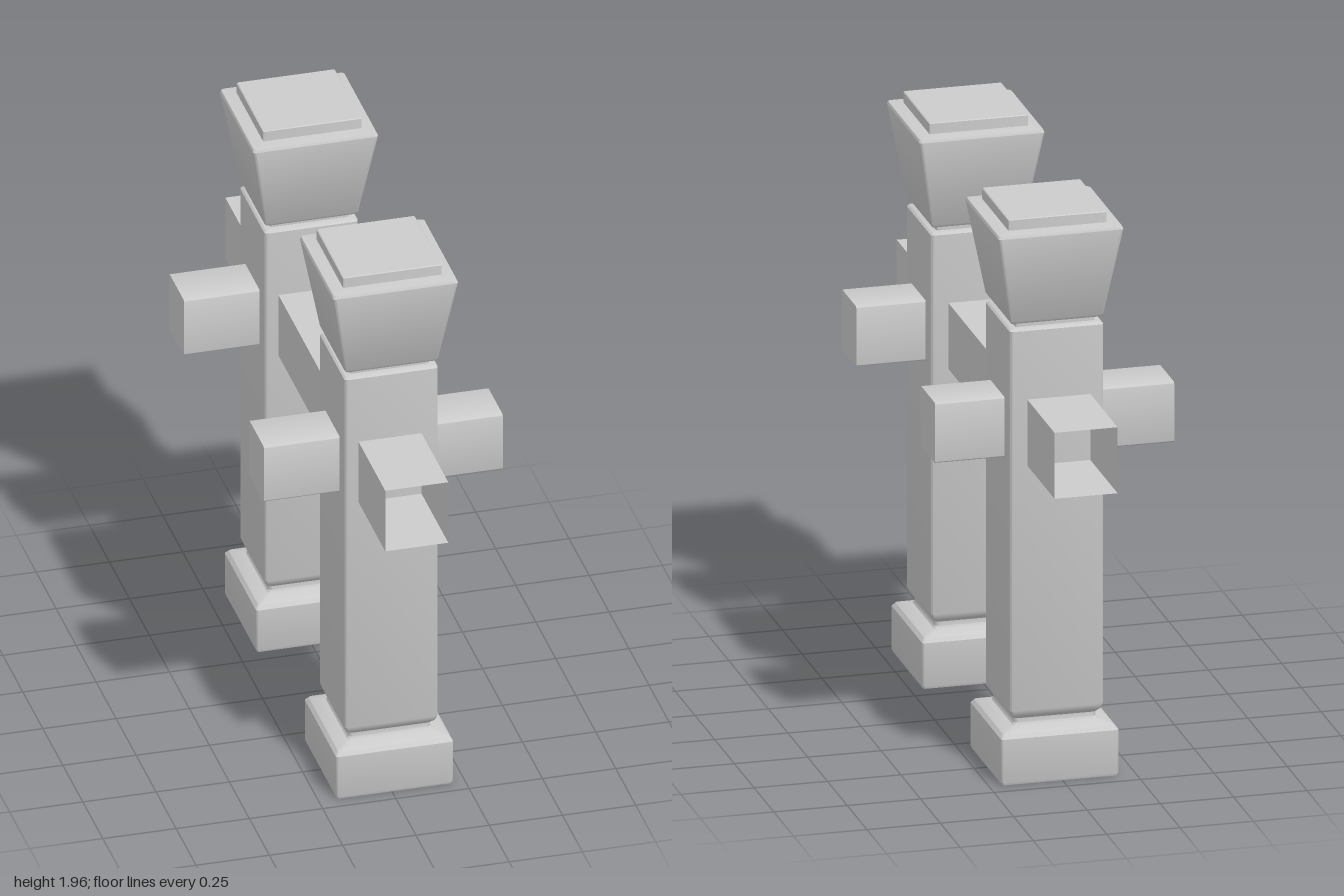
import * as THREE from 'three';
import { toCreasedNormals } from 'three/addons/utils/BufferGeometryUtils.js';

const material = new THREE.MeshStandardMaterial({ color: 0xcccccc, side: THREE.DoubleSide });
const CORNER_STEPS = 3;

// Square outline with rounded corners, counter-clockwise in (x, z)
function roundedSquare(half, radius) {
  const points = [];
  for (let corner = 0; corner < 4; corner++) {
    const mid = Math.PI / 4 + corner * Math.PI / 2;
    const cx = Math.sign(Math.cos(mid)) * (half - radius);
    const cz = Math.sign(Math.sin(mid)) * (half - radius);
    for (let i = 0; i <= CORNER_STEPS; i++) {
      const a = corner * Math.PI / 2 + (i / CORNER_STEPS) * Math.PI / 2;
      points.push([cx + radius * Math.cos(a), cz + radius * Math.sin(a)]);
    }
  }
  return points;
}

// Skin over rounded squares; each profile entry is [half width, y, corner radius]
function squareLoft(profile, closeTop) {
  const positions = [];
  const index = [];
  const n = 4 * (CORNER_STEPS + 1);
  profile.forEach(([half, y, radius]) => {
    roundedSquare(half, radius).forEach(([x, z]) => positions.push(x, y, z));
  });
  for (let r = 0; r < profile.length - 1; r++) {
    for (let i = 0; i < n; i++) {
      const a = r * n + i, b = r * n + (i + 1) % n;
      index.push(a, a + n, b, b, a + n, b + n);
    }
  }
  if (closeTop) {
    const last = (profile.length - 1) * n;
    const centre = positions.length / 3;
    positions.push(0, profile[profile.length - 1][1], 0);
    for (let i = 0; i < n; i++) index.push(last + i, centre, last + (i + 1) % n);
  }
  const geometry = new THREE.BufferGeometry();
  geometry.setAttribute('position', new THREE.Float32BufferAttribute(positions, 3));
  geometry.setIndex(index);
  return toCreasedNormals(geometry, 0.6);
}

function part(name, geometry) {
  const mesh = new THREE.Mesh(geometry, material);
  mesh.name = name;
  return mesh;
}

// Post: hollow foot, shaft, flared cap and raised top plate
function createPost() {
  const post = new THREE.Group();
  post.add(part('foot', squareLoft([
    [0.196, 0, 0.008], [0.2, 0.01, 0.008], [0.2, 0.16, 0.008], [0.19, 0.174, 0.012],
    [0.145, 0.187, 0.012], [0.14, 0.195, 0.012], [0.14, 0.21, 0.012],
  ])));
  post.add(part('shaft', squareLoft([
    [0.14, 0.21, 0.012], [0.153, 0.223, 0.012], [0.16, 0.242, 0.012],
    [0.16, 1.564, 0.012], [0.154, 1.57, 0.012], [0.135, 1.572, 0.01],
  ])));
  post.add(part('neck', squareLoft([[0.135, 1.57, 0.01], [0.135, 1.592, 0.01]])));
  post.add(part('flaredCap', squareLoft([
    [0.135, 1.59, 0.01], [0.153, 1.59, 0.008], [0.16, 1.6, 0.008],
    [0.214, 1.908, 0.01], [0.21, 1.917, 0.012], [0.168, 1.922, 0.004],
  ])));
  post.add(part('topPlate', squareLoft([
    [0.168, 1.92, 0.004], [0.168, 1.957, 0.004], [0.165, 1.96, 0.004],
  ], true)));
  return post;
}

// Cross beam along x with slightly rounded long edges
function createCrossBeam() {
  const w = 0.0925, h = 0.105, r = 0.008;
  const shape = new THREE.Shape();
  shape.absarc(w - r, h - r, r, 0, Math.PI / 2);
  shape.absarc(-w + r, h - r, r, Math.PI / 2, Math.PI);
  shape.absarc(-w + r, -h + r, r, Math.PI, Math.PI * 1.5);
  shape.absarc(w - r, -h + r, r, Math.PI * 1.5, Math.PI * 2);
  const geometry = new THREE.ExtrudeGeometry(shape, { depth: 0.815, bevelEnabled: false, curveSegments: 3 });
  geometry.translate(0, 0, -0.4075).rotateY(Math.PI / 2);
  return part('crossBeam', toCreasedNormals(geometry, 0.6));
}

// Long rail: four-sided tube with open ends
function createRail() {
  const geometry = new THREE.CylinderGeometry(Math.SQRT1_2, Math.SQRT1_2, 2, 4, 1, true, Math.PI / 4);
  geometry.rotateX(Math.PI / 2).scale(0.215, 0.23, 1);
  return part('longRail', toCreasedNormals(geometry, 0.6));
}

export function createModel() {
  const model = new THREE.Group();
  model.name = 'fenceSection';

  // Two posts, each crossed by a short beam
  [['front', 0.505, 0.508], ['back', -0.495, -0.492]].forEach(([name, postZ, beamZ]) => {
    const post = createPost();
    post.name = name + 'Post';
    post.position.set(0.009, 0, postZ);
    const beam = createCrossBeam();
    beam.name = name + 'CrossBeam';
    beam.position.set(-0.002, 1.21, beamZ);
    model.add(post, beam);
  });

  const rail = createRail();
  rail.position.set(0.003, 1.21, 0);
  model.add(rail);
  return model;
}
